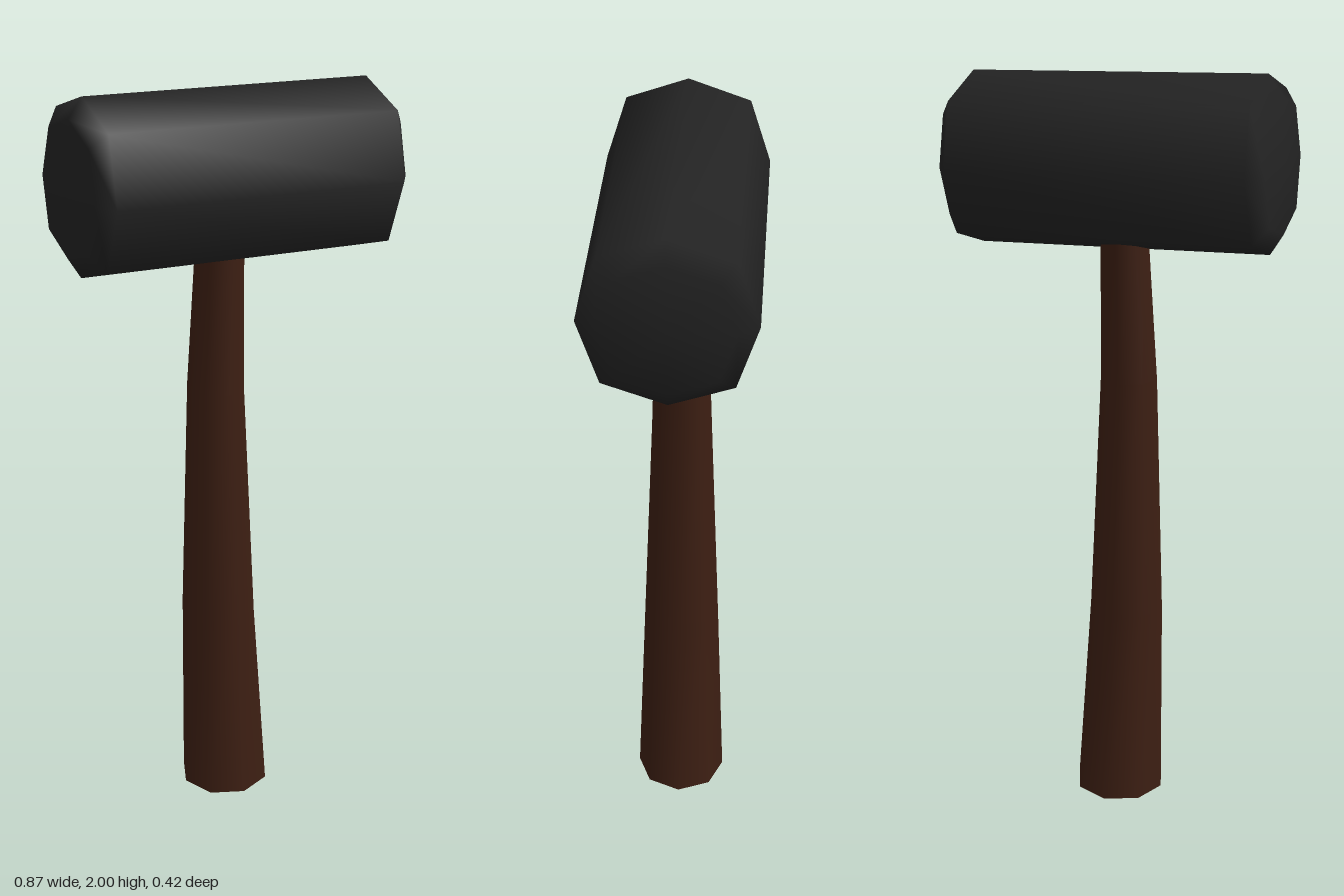
import * as THREE from 'three';
import { mergeVertices } from 'three/addons/utils/BufferGeometryUtils.js';

const SIDES = 8;

// Smooth skin through eight-sided rings stacked along y: { y, x, z, rx, rz, bulge }
function loft(rings) {
  const positions = [], index = [];
  rings.forEach(({ y, x = 0, z = 0, rx, rz, bulge = 1 }, i) => {
    for (let k = 0; k < SIDES; k++) {
      const a = (k / SIDES) * Math.PI * 2;
      const s = k % 2 ? bulge : 1; // pushes the diagonal corners out
      positions.push(x + rx * s * Math.cos(a), y, z - rz * s * Math.sin(a));
      if (i === rings.length - 1) continue;
      const p = i * SIDES + k, q = i * SIDES + (k + 1) % SIDES;
      index.push(p, q, q + SIDES, p, q + SIDES, p + SIDES);
    }
  });
  const geometry = new THREE.BufferGeometry();
  geometry.setAttribute('position', new THREE.Float32BufferAttribute(positions, 3));
  geometry.setIndex(index);
  const merged = mergeVertices(geometry, 1e-4);
  merged.computeVertexNormals();
  return merged;
}

function part(name, geometry, material, parent) {
  const mesh = new THREE.Mesh(geometry, material);
  mesh.name = name;
  parent.add(mesh);
  return mesh;
}

export function createModel() {
  const model = new THREE.Group();
  model.name = 'mallet';
  const rubber = new THREE.MeshStandardMaterial({ color: 0x232323 });
  const wood = new THREE.MeshStandardMaterial({ color: 0x3d1f13 });

  // Head: bevelled eight-sided barrel with slightly domed faces, tilted down to +x
  const headRings = [[-0.434, 0], [-0.425, 0.765], [-0.39, 1], [0.39, 1], [0.425, 0.765], [0.434, 0]]
    .map(([y, s]) => ({ y, rx: 0.2225 * s, rz: 0.21 * s, bulge: 1.06 }));
  const head = part('head', loft(headRings), rubber, model);
  head.position.y = 1.7625;
  head.rotation.z = -Math.PI / 2 - 0.038;

  // Handle: tapering and gently bowed towards -x
  const handle = new THREE.Group();
  handle.name = 'handle';
  model.add(handle);
  const shaft = [[0, -0.003, 0.123], [0.55, -0.022, 0.103], [1.2, -0.028, 0.078], [1.62, -0.014, 0.064]]
    .map(([y, x, r]) => ({ y, x, z: -0.007, rx: r, rz: r }));
  part('handleShaft', loft(shaft), wood, handle);

  // Flat end caps of the handle
  [[shaft[0], 1], [shaft[shaft.length - 1], -1]].forEach(([ring, dir]) => {
    const cap = part(dir > 0 ? 'handleButt' : 'handleTop', new THREE.CircleGeometry(ring.rx, SIDES), wood, handle);
    cap.rotation.x = dir * Math.PI / 2;
    cap.position.set(ring.x, ring.y, ring.z);
  });

  return model;
}
